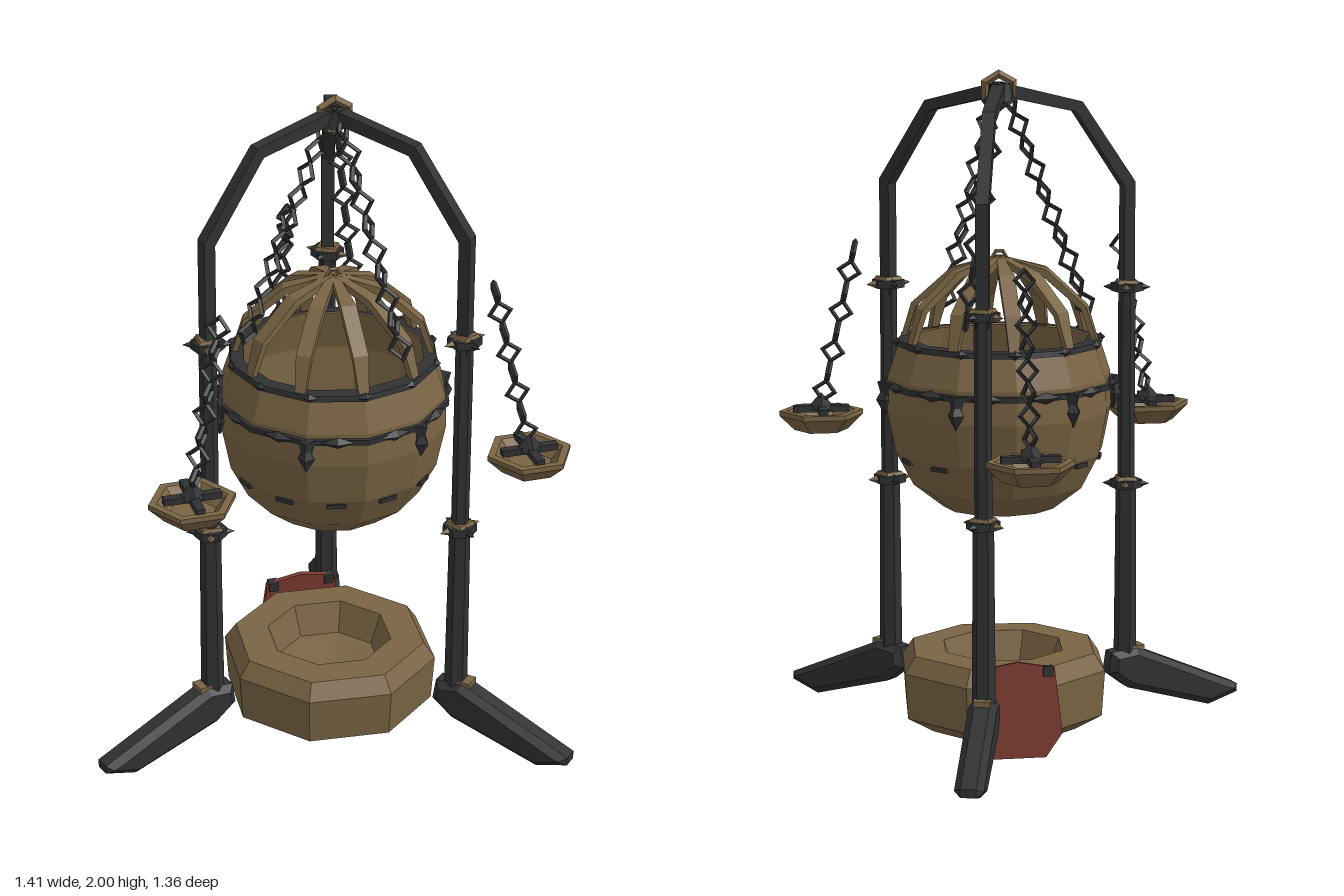
import * as THREE from 'three';

const mat = (name, color) => {
  const m = new THREE.MeshStandardMaterial({ color, flatShading: true });
  m.name = name;
  return m;
};

export function createModel() {
  const brass = mat('aged brass', 0x7a6444);
  const iron = mat('black iron', 0x303133);
  const red = mat('red plate', 0x7a3a30);
  const ember = mat('ember orange', 0xb8702a);
  const model = new THREE.Group();
  model.name = 'hangingBrazier';

  // Everything hangs around this off-centre vertical axis
  const axis = new THREE.Group();
  axis.name = 'brazierAxis';
  axis.position.set(0.065, 0, 0.09);
  model.add(axis);

  const add = (parent, name, geo, material, x = 0, y = 0, z = 0) => {
    const m = new THREE.Mesh(geo, material);
    m.name = name;
    m.position.set(x, y, z);
    parent.add(m);
    return m;
  };
  // Group whose +x points outward at a plan angle (x toward z, degrees)
  const spoke = (name, deg) => {
    const g = new THREE.Group();
    g.name = name;
    g.rotation.y = -deg * Math.PI / 180;
    axis.add(g);
    return g;
  };
  // Side outline in the spoke's plane, extruded to a centred slab
  const slab = (pts, width, bevel = 0) => {
    const shape = new THREE.Shape(pts.map(p => new THREE.Vector2(...p)));
    const geo = new THREE.ExtrudeGeometry(shape, {
      depth: width - 2 * bevel, bevelEnabled: bevel > 0, bevelSegments: 1,
      bevelSize: bevel, bevelThickness: bevel, bevelOffset: -bevel,
    });
    return geo.translate(0, 0, bevel - width / 2);
  };
  const lathe = (pts, n) => new THREE.LatheGeometry(pts.map(p => new THREE.Vector2(...p)), n);
  // Chain of square links, alternately turned, each seventh-scale varied
  const chain = (parent, name, a, b, count) => {
    const g = new THREE.Group();
    g.name = name;
    const from = new THREE.Vector3(...a), dir = new THREE.Vector3(...b).sub(from);
    const step = dir.length() / count;
    g.position.copy(from);
    g.quaternion.setFromUnitVectors(new THREE.Vector3(0, 1, 0), dir.normalize());
    parent.add(g);
    for (let i = 0; i < count; i++) {
      const link = add(g, 'chainLink', new THREE.TorusGeometry(0.031, 0.0085, 4, 4), iron, 0, step * (i + 0.5), 0);
      link.scale.y = step * 0.62 / 0.0395;
      link.rotation.y = (i % 2) * Math.PI / 2 + 0.4;
    }
  };

  // Three legs with arched tops, collars and splayed feet
  for (const deg of [45, 165, 285]) {
    const leg = spoke('standLeg', deg);
    add(leg, 'lowerPost', new THREE.CylinderGeometry(0.031, 0.035, 0.6, 6), iron, 0.42, 0.44, 0);
    add(leg, 'middlePost', new THREE.CylinderGeometry(0.026, 0.026, 0.62, 6), iron, 0.42, 1.03, 0);
    add(leg, 'archedArm', slab([
      [0.402, 1.3], [0.437, 1.3], [0.437, 1.655], [0.262, 1.9], [0.0, 1.965],
      [0.0, 1.925], [0.242, 1.87], [0.402, 1.64],
    ], 0.038), iron);
    for (const y of [0.73, 1.335]) {
      add(leg, 'collarPlate', new THREE.CylinderGeometry(0.05, 0.05, 0.024, 6), iron, 0.42, y, 0);
      for (let k = 0; k < 4; k++) {
        const t = k * Math.PI / 2 + 0.5;
        const spike = add(leg, 'collarSpike', new THREE.ConeGeometry(0.017, 0.04, 4), k % 2 ? brass : iron,
          0.42 + Math.cos(t) * 0.052, y, Math.sin(t) * 0.052);
        spike.rotation.set(0, -t, -Math.PI / 2);
      }
      const trim = add(leg, 'collarTrim', new THREE.CylinderGeometry(0.038, 0.046, 0.012, 4), brass, 0.42, y + 0.016, 0);
      trim.rotation.y = 0.5;
    }
    add(leg, 'splayedFoot', slab([
      [0.355, 0.14], [0.365, 0.205], [0.45, 0.215], [0.80, 0.06], [0.80, 0.035], [0.70, 0.005], [0.42, 0.09],
    ], 0.085, 0.02), iron);
    add(leg, 'ankleBand', new THREE.BoxGeometry(0.05, 0.025, 0.05), brass, 0.45, 0.208, 0);
  }

  // Suspension ring at the summit
  add(axis, 'summitHub', new THREE.CylinderGeometry(0.03, 0.045, 0.05, 6), iron, 0, 1.935, 0);
  add(axis, 'summitRing', new THREE.TorusGeometry(0.048, 0.013, 4, 6), brass, 0, 1.94, 0).rotation.z = 0.5;

  // Fire bowl: thick twelve-sided shell, open at the top
  add(axis, 'fireBowl', lathe([
    [0, 0.7], [0.17, 0.7], [0.26, 0.77], [0.312, 0.87], [0.338, 1.0], [0.335, 1.1], [0.3, 1.205],
    [0.27, 1.205], [0.3, 1.08], [0.285, 0.92], [0.22, 0.8], [0, 0.76],
  ], 12), brass);
  add(axis, 'coalBed', new THREE.CylinderGeometry(0.21, 0.2, 0.04, 9), iron, 0, 0.82, 0);
  for (let i = 0; i < 7; i++) {
    const t = i * 2.4, r = 0.05 + 0.018 * i;
    add(axis, 'coal', new THREE.DodecahedronGeometry(0.035), iron, Math.cos(t) * r, 0.845, Math.sin(t) * r);
  }
  for (const [x, z] of [[0.05, 0.11], [0.01, 0.17], [0.1, 0.06]])
    add(axis, 'ember', new THREE.OctahedronGeometry(0.022), ember, x, 0.865, z);

  // Iron bands round the bowl
  add(axis, 'girdleBand', lathe([[0.33, 1.068], [0.346, 1.07], [0.346, 1.086], [0.33, 1.088]], 12), iron);
  add(axis, 'rimBand', lathe([[0.298, 1.19], [0.312, 1.192], [0.308, 1.208], [0.268, 1.21]], 12), iron);
  for (let i = 0; i < 12; i++) {
    const s = spoke('bandFitting', i * 30);
    add(s, 'rimStud', new THREE.OctahedronGeometry(0.014), iron, 0.305, 1.202, 0).scale.z = 1.6;
    const s2 = spoke('bandClasp', i * 30 + 15);
    add(s2, 'girdleClasp', new THREE.OctahedronGeometry(0.017), iron, 0.333, 1.078, 0).scale.z = 3.2;
    add(s2, 'lowerSlot', new THREE.BoxGeometry(0.016, 0.013, 0.055), iron, 0.295, 0.855, 0);
    if (i % 2 === 0) {
      add(s, 'pendantStud', new THREE.ConeGeometry(0.026, 0.1, 4), iron, 0.34, 1.035, 0).rotation.z = Math.PI;
      add(s, 'pendantTip', new THREE.OctahedronGeometry(0.025), iron, 0.345, 1.03, 0).scale.y = 1.8;
    }
  }

  // Open cage of curved ribs, widest halfway up
  for (let i = 0; i < 10; i++) {
    const geo = slab([
      [0.3, 1.19], [0.262, 1.31], [0.145, 1.415], [0.0, 1.455],
      [0.0, 1.435], [0.135, 1.395], [0.247, 1.3], [0.283, 1.19],
    ], 0.04);
    const p = geo.attributes.position;
    for (let k = 0; k < p.count; k++) {
      const r = p.getX(k);
      p.setZ(k, p.getZ(k) * (r < 0.05 ? 0.5 : r > 0.28 ? 0.7 : 1.15));
    }
    add(spoke('cage', i * 36 + 18), 'cageRib', geo, brass);
  }
  add(axis, 'cageRing', new THREE.TorusGeometry(0.02, 0.006, 4, 6), brass, 0, 1.45, 0);

  // Three chains carrying the bowl
  for (const deg of [60, 180, 300])
    chain(spoke('bowlSuspension', deg), 'bowlChain', [0.27, 1.27, 0], [0.02, 1.94, 0], 10);

  // Three hexagonal offering pans with cross handles and leaning chains
  for (const deg of [30, 150, 270]) {
    const s = spoke('hangingPan', deg);
    const pan = add(s, 'pan', lathe([
      [0, 0.89], [0.082, 0.89], [0.128, 0.935], [0.128, 0.95], [0.104, 0.95], [0.07, 0.91], [0, 0.91],
    ], 6), brass, 0.585, 0, 0);
    pan.rotation.y = deg * Math.PI / 180 + Math.PI / 6;
    const handle = new THREE.Group();
    handle.name = 'crossHandle';
    handle.position.set(0.585, 0.955, 0);
    handle.rotation.y = deg * Math.PI / 180;
    s.add(handle);
    add(handle, 'crossBar', new THREE.BoxGeometry(0.17, 0.02, 0.026), iron);
    add(handle, 'crossBar', new THREE.BoxGeometry(0.026, 0.02, 0.19), iron);
    add(handle, 'handleKnob', new THREE.ConeGeometry(0.045, 0.05, 4), iron, 0, 0.025, 0);
    chain(s, 'panChain', [0.58, 0.98, 0], [0.465, 1.475, 0], 8);
  }

  // Faceted ash basin on the ground with a hollow top
  const basin = add(model, 'ashBasin', lathe([
    [0, 0.02], [0.23, 0.02], [0.315, 0.07], [0.325, 0.21], [0.29, 0.26],
    [0.19, 0.262], [0.155, 0.17], [0, 0.15],
  ], 8), brass, 0.055, 0, 0.1);
  basin.rotation.y = 0.3;

  // Red shield plate leaning behind the basin, with iron clips
  const plate = new THREE.Group();
  plate.name = 'shieldPlate';
  plate.position.set(0.06, 0.01, -0.245);
  plate.rotation.x = 0.1;
  model.add(plate);
  add(plate, 'shield', slab([
    [-0.08, 0], [0.08, 0], [0.13, 0.07], [0.11, 0.265], [0, 0.285], [-0.11, 0.265], [-0.13, 0.07],
  ], 0.016), red);
  for (const x of [-0.09, 0.09])
    add(plate, 'shieldClip', new THREE.BoxGeometry(0.03, 0.03, 0.03), iron, x, 0.255, 0);

  return model;
}
